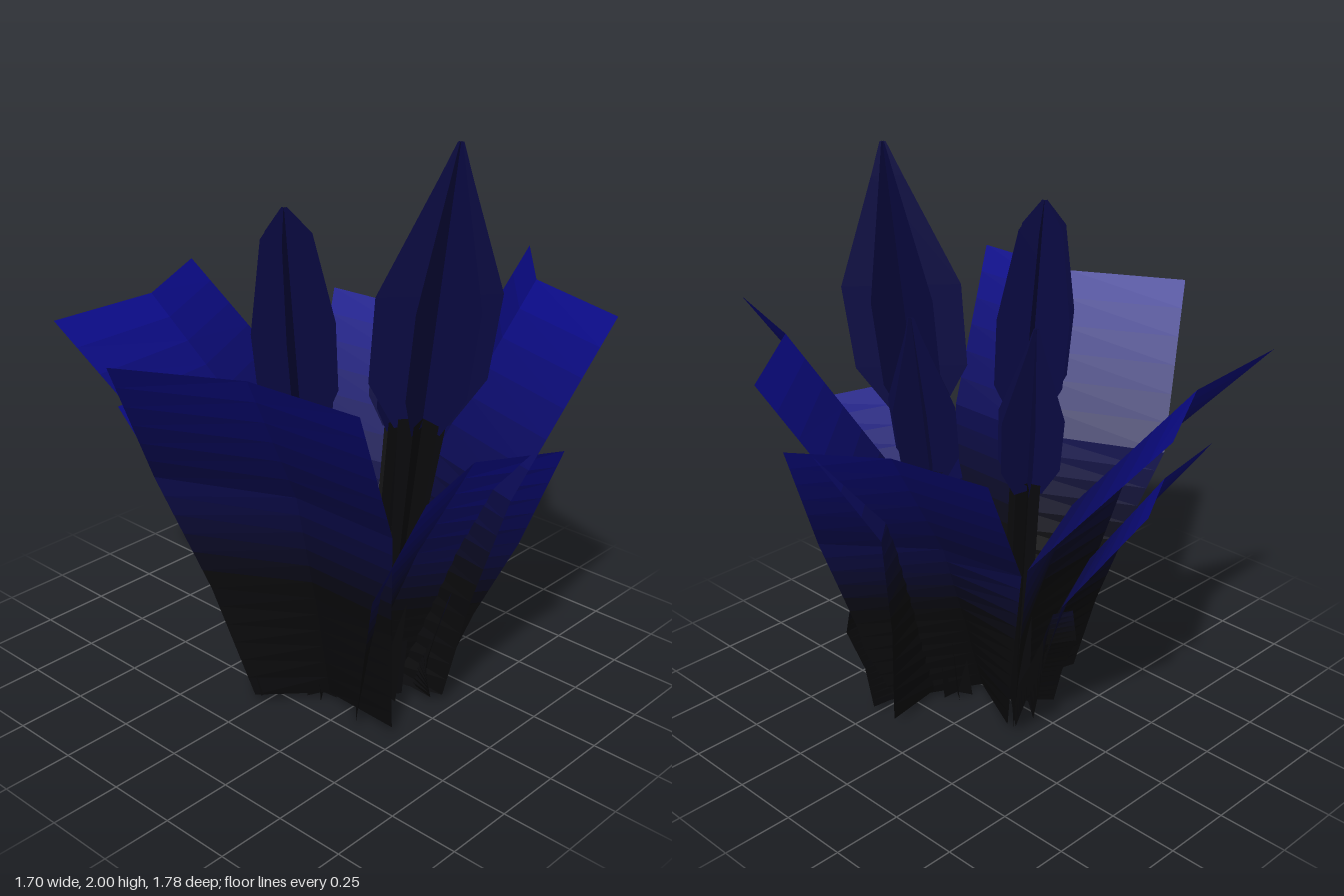
import * as THREE from 'three';

const V = (p) => new THREE.Vector3(...p);
const DARK = new THREE.Color(0x0a0a0c), BLUE = new THREE.Color(0x0b0b90), BUD = new THREE.Color(0x090942);
const material = (color) => new THREE.MeshStandardMaterial({ color, side: THREE.DoubleSide, flatShading: true });

// strip of quads between two rows of points
function band(a, b, color) {
  const pos = [];
  for (let i = 0; i < a.length - 1; i++) {
    for (const p of [a[i], a[i + 1], b[i + 1], a[i], b[i + 1], b[i]]) pos.push(p.x, p.y, p.z);
  }
  const g = new THREE.BufferGeometry();
  g.setAttribute('position', new THREE.Float32BufferAttribute(pos, 3));
  g.computeVertexNormals();
  return new THREE.Mesh(g, material(color));
}

// creased leaf: rows of left edge, crease, right edge; darker toward the foot
function leaf(name, foot, middle, top) {
  const group = new THREE.Group();
  group.name = name;
  const rows = [foot, middle, top].map((r) => r.map(V));
  // extra row keeps the lower half slightly bowed inward
  const low = rows[0].map((p, i) => {
    const q = p.clone().lerp(rows[1][i], 0.5);
    q.x = 0.1 + (q.x - 0.1) * 0.97;
    q.z *= 0.96;
    return q;
  });
  rows.splice(1, 0, low);
  const steps = 6;
  const at = (s) => {
    const k = Math.min(Math.floor(s / steps), rows.length - 2);
    return rows[k].map((p, i) => p.clone().lerp(rows[k + 1][i], s / steps - k));
  };
  const n = steps * (rows.length - 1);
  for (let s = 0; s < n; s++) {
    const height = at(s + 0.5)[1].y / Math.max(top[1][1], 1.05);
    const t = Math.max(0, (height - 0.35) / 0.65) ** 1.5;
    const mesh = band(at(s), at(s + 1), DARK.clone().lerp(BLUE, t));
    mesh.name = name + 'Band';
    group.add(mesh);
  }
  return group;
}

// bud on a stem: crossed upright vanes around a leaning axis
function bud(name, foot, tip, length, width, turn, blunt) {
  const group = new THREE.Group();
  group.name = name;
  const a = V(foot), b = V(tip);
  const start = b.y - length;
  // height and half width along the axis
  const stem = [[0, 0.06], [0.5 * start, 0.045], [start + 0.03, 0.4 * width]];
  const head = [[start, 0.45 * width], [start + 0.17 * length, 0.95 * width], [start + 0.48 * length, width],
    [start + 0.88 * length, (blunt ? 0.6 : 0.26) * width], [b.y, 0.01]];
  const point = (y, r, ang) => {
    const p = a.clone().lerp(b, y / b.y);
    return p.add(new THREE.Vector3(Math.cos(ang) * r, 0, Math.sin(ang) * r));
  };
  for (let i = 0; i < 3; i++) {
    const ang = turn + (i * Math.PI) / 3;
    for (const [part, profile, color] of [['stem', stem, DARK], ['petal', head, BUD]]) {
      const mesh = band(profile.map(([y, r]) => point(y, r, ang)),
        profile.map(([y, r]) => point(y, -r, ang)), color);
      mesh.name = part;
      group.add(mesh);
    }
  }
  return group;
}

export function createModel() {
  const model = new THREE.Group();
  model.name = 'plant';

  // tall outer leaves
  model.add(leaf('frontLeaf',
    [[-0.02, 0.03, 0.35], [0.16, 0.03, 0.16], [0.46, 0.03, 0.17]],
    [[-0.25, 0.88, 0.57], [0.2, 0.88, 0.36], [0.61, 0.88, 0.36]],
    [[-0.06, 1.41, 0.89], [0.32, 1.41, 0.68], [0.75, 1.42, 0.67]]));
  model.add(leaf('rightSideLeaf',
    [[-0.2, 0.03, -0.15], [0.04, 0.03, 0.08], [0, 0.03, 0.34]],
    [[-0.47, 0.85, -0.37], [-0.27, 0.86, 0.06], [-0.19, 0.85, 0.46]],
    [[-0.85, 1.34, -0.16], [-0.65, 1.34, 0.21], [-0.63, 1.355, 0.65]]));
  model.add(leaf('backLeaf',
    [[0.46, 0.03, -0.1], [0.2, 0.03, -0.02], [0.14, 0.03, -0.41]],
    [[0.74, 0.9, -0.06], [0.3, 0.88, -0.22], [0, 0.85, -0.56]],
    [[0.85, 1.45, -0.43], [0.44, 1.45, -0.56], [0.17, 1.44, -0.89]]));

  // middle leaves
  model.add(leaf('leftSideLeaf',
    [[0.34, 0.01, 0.22], [0.19, 0.01, 0.05], [0.38, 0.01, -0.18]],
    [[0.53, 0.62, 0.36], [0.43, 0.63, 0.02], [0.62, 0.62, -0.29]],
    [[0.73, 1.03, 0.35], [0.66, 1.04, 0.03], [0.79, 1.02, -0.27]]));
  model.add(leaf('backRightLeaf',
    [[0.27, 0.02, -0.36], [0.09, 0.02, -0.02], [-0.16, 0.02, -0.14]],
    [[0.33, 0.72, -0.56], [0, 0.72, -0.29], [-0.32, 0.72, -0.24]],
    [[0.17, 1.19, -0.8], [-0.12, 1.2, -0.61], [-0.49, 1.21, -0.56]]));
  model.add(leaf('lowerRightSideLeaf',
    [[-0.2, 0.02, -0.05], [0, 0.02, 0.1], [-0.06, 0.02, 0.32]],
    [[-0.48, 0.66, -0.22], [-0.3, 0.64, 0.12], [-0.22, 0.62, 0.42]],
    [[-0.74, 1.04, -0.12], [-0.57, 1.02, 0.17], [-0.52, 1.03, 0.49]]));

  // short leaves at the foot
  model.add(leaf('shortBackLeaf',
    [[0.44, 0.03, -0.06], [0.22, 0.02, -0.08], [0.25, 0.03, -0.41]],
    [[0.5, 0.26, 0.04], [0.36, 0.32, -0.24], [0.3, 0.35, -0.48]],
    [[0.5, 0.46, -0.08], [0.39, 0.5, -0.27], [0.3, 0.48, -0.45]]));
  model.add(leaf('shortSideLeaf',
    [[-0.2, 0.03, -0.14], [-0.06, 0.02, -0.02], [-0.18, 0.03, 0.08]],
    [[-0.36, 0.35, -0.18], [-0.24, 0.34, -0.04], [-0.3, 0.34, 0.06]],
    [[-0.34, 0.46, -0.15], [-0.27, 0.47, -0.03], [-0.29, 0.46, 0.05]]));

  // buds: foot, tip, bud length, half width, turn, blunt top
  model.add(bud('tallBud', [0.28, 0, 0], [0.46, 2, -0.1], 0.95, 0.205, 0.2, false));
  model.add(bud('frontBud', [0.11, 0, 0.14], [0.08, 1.8, 0.28], 0.77, 0.145, -0.1, true));
  model.add(bud('rightBud', [-0.04, 0, 0.02], [-0.17, 1.48, -0.02], 0.6, 0.12, 0.7, false));
  model.add(bud('backBud', [0.14, 0, -0.1], [0.12, 1.52, -0.3], 0.6, 0.12, 0.6, false));
  return model;
}
